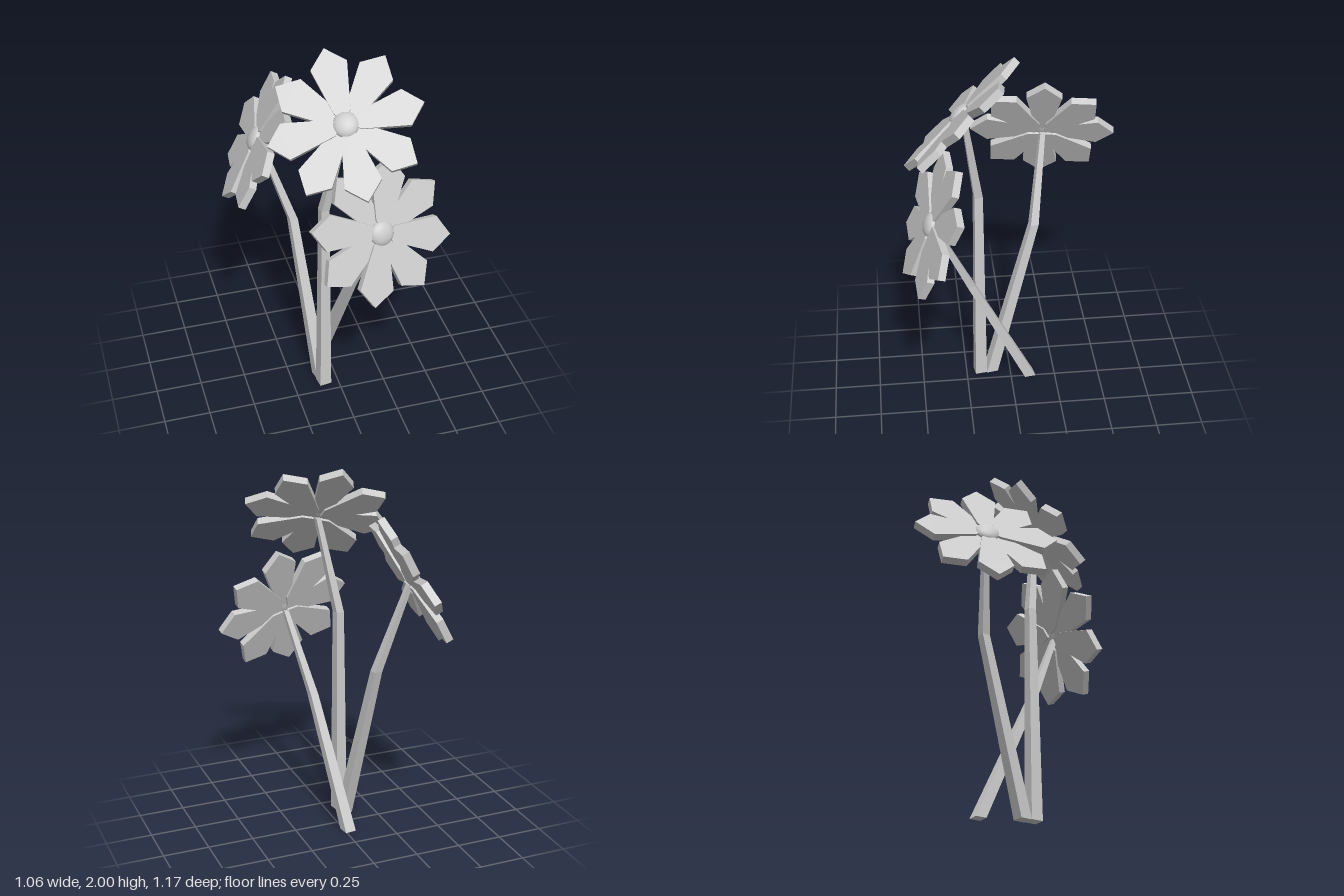
import * as THREE from 'three';

const material = new THREE.MeshStandardMaterial({ color: 0xcccccc, flatShading: true });
const smooth = new THREE.MeshStandardMaterial({ color: 0xcccccc });
const PETAL_DEPTH = 0.04;

// Angular petal pointing along +x: pointed base, wide shoulders, right-angled tip
function petalGeometry(length) {
  const outline = [[0.02, 0], [0.065, -0.042], [length - 0.09, -0.093], [length, 0],
    [length - 0.09, 0.093], [0.065, 0.042]];
  const shape = new THREE.Shape(outline.map(([x, y]) => new THREE.Vector2(x, y)));
  const geometry = new THREE.ExtrudeGeometry(shape, { depth: PETAL_DEPTH, bevelEnabled: false });
  return geometry.translate(0, 0, -PETAL_DEPTH / 2);
}

// Flower head: eight petals in two slightly offset layers, and a domed centre
function makeHead({ centre, across, up, length }) {
  const head = new THREE.Group();
  head.name = 'flowerHead';
  const geometry = petalGeometry(length);
  for (let i = 0; i < 8; i++) {
    const petal = new THREE.Mesh(geometry, material);
    petal.name = 'petal';
    petal.rotation.z = i * Math.PI / 4;
    petal.position.z = i % 2 ? -0.006 : 0.006;
    head.add(petal);
  }
  const dome = new THREE.Mesh(new THREE.SphereGeometry(0.065, 24, 12), smooth);
  dome.name = 'flowerCentre';
  dome.scale.z = 0.5;
  dome.position.z = 0.016;
  head.add(dome);

  // Turn the head so that its petals lie in the plane of the two directions
  const x = new THREE.Vector3(...across).normalize();
  const z = x.clone().cross(new THREE.Vector3(...up)).normalize();
  const y = z.clone().cross(x);
  head.quaternion.setFromRotationMatrix(new THREE.Matrix4().makeBasis(x, y, z));
  head.position.set(...centre);
  return head;
}

// Square tapering stem through stations [x, y, z, width]
function makeStem(stations, yaw) {
  const rows = stations.length - 1;
  const geometry = new THREE.CylinderGeometry(Math.SQRT1_2, Math.SQRT1_2, 1, 4, rows);
  geometry.rotateY(Math.PI / 4 + yaw);
  const position = geometry.attributes.position;
  for (let i = 0; i < position.count; i++) {
    const [x, y, z, width] = stations[Math.round((position.getY(i) + 0.5) * rows)];
    position.setXYZ(i, x + position.getX(i) * width, y, z + position.getZ(i) * width);
  }
  const flat = geometry.toNonIndexed();
  flat.computeVertexNormals();
  const stem = new THREE.Mesh(flat, material);
  stem.name = 'stem';
  return stem;
}

const flowers = [
  { // upright flower, facing forward and up
    name: 'topFlower', centre: [0.015, 1.71, 0.25], length: 0.395, yaw: 0.15,
    across: [0.385, 0.09, 0.045], up: [-0.025, 0.285, -0.295],
    stem: [[-0.08, 0, 0.172, 0.066], [-0.075, 1.18, 0.17, 0.045], [0.015, 1.69, 0.24, 0.028]],
  },
  { // flower leaning out to the model's right and back
    name: 'sideFlower', centre: [-0.33, 1.425, -0.2], length: 0.385, yaw: 0.2,
    across: [0.18, 0.345, 0.01], up: [0.045, -0.005, -0.375],
    stem: [[-0.085, 0, 0.11, 0.066], [-0.165, 0.93, -0.14, 0.045], [-0.32, 1.41, -0.2, 0.028]],
  },
  { // lower flower leaning forward
    name: 'frontFlower', centre: [0.15, 1.16, 0.42], length: 0.385, yaw: 0.15,
    across: [0.365, -0.09, -0.025], up: [0.07, 0.34, -0.14],
    stem: [[-0.02, 0, -0.105, 0.062], [0.055, 0.7, 0.225, 0.045], [0.14, 1.14, 0.415, 0.028]],
  },
];

export function createModel() {
  const model = new THREE.Group();
  model.name = 'flowerBunch';
  for (const spec of flowers) {
    const flower = new THREE.Group();
    flower.name = spec.name;
    flower.add(makeStem(spec.stem, spec.yaw), makeHead(spec));
    model.add(flower);
  }
  return model;
}
